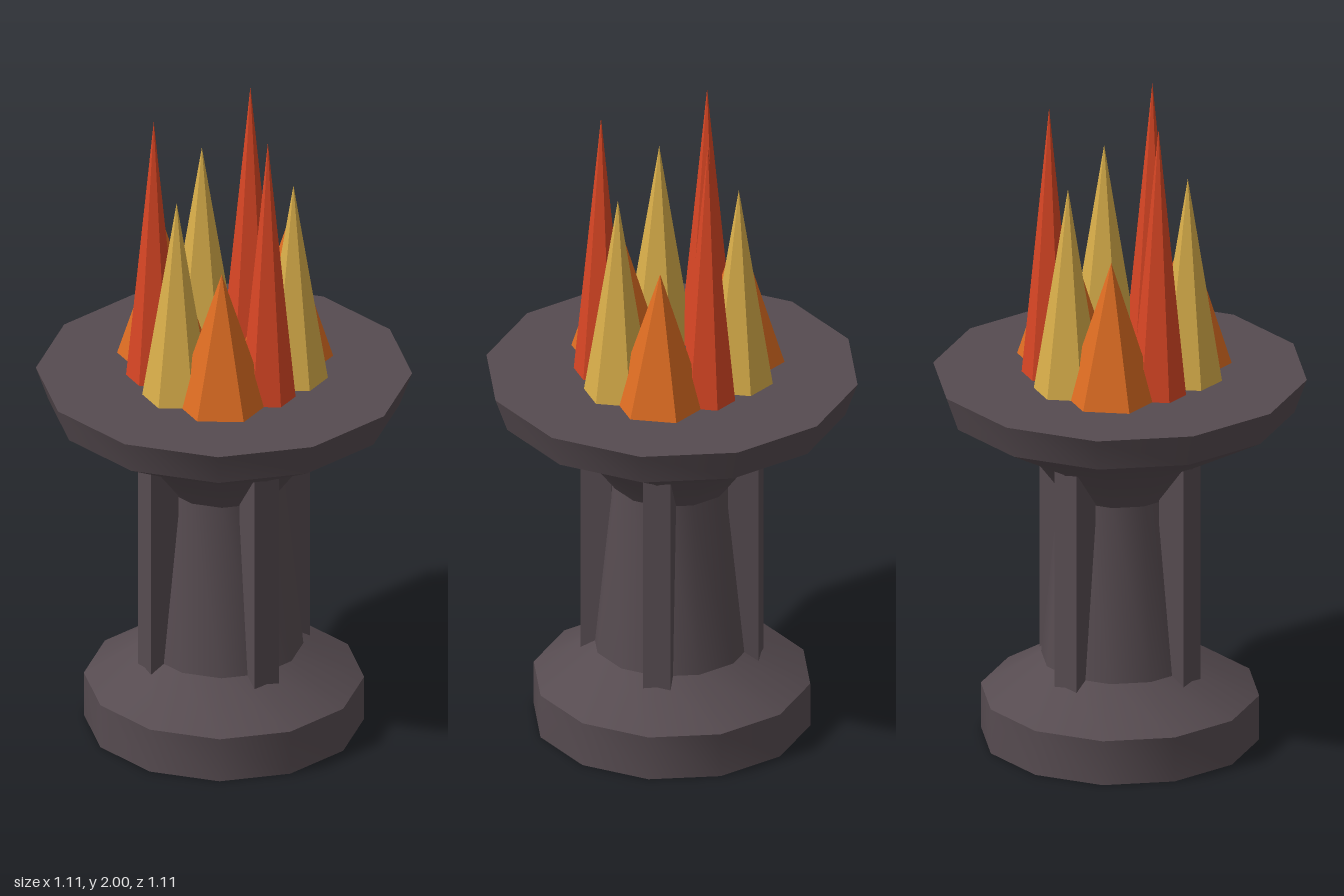
import * as THREE from 'three';
import { toCreasedNormals } from 'three/addons/utils/BufferGeometryUtils.js';

function material(name, color, options = {}) {
  const m = new THREE.MeshStandardMaterial({ color, ...options });
  m.name = name;
  return m;
}

export function createModel() {
  const model = new THREE.Group();
  model.name = 'brazier';

  const stone = material('dark stone', 0x564b50, { side: THREE.DoubleSide });
  const orange = material('orange flame', 0xdc6c22, { flatShading: true });
  const yellow = material('yellow flame', 0xd9ae4a, { flatShading: true });
  const red = material('red flame', 0xd84624, { flatShading: true });

  function add(name, geometry, mat, parent = model) {
    const mesh = new THREE.Mesh(geometry, mat);
    mesh.name = name;
    parent.add(mesh);
    return mesh;
  }

  // Hollow foot, tapering column and flared bowl, open underneath
  const profile = [
    [0.415, 0], [0.415, 0.14], [0.235, 0.25], [0.18, 0.79],
    [0.27, 0.91], [0.52, 1.05], [0.557, 1.155], [0, 1.155],
  ].map(([r, y]) => new THREE.Vector2(r, y));
  add('pedestalAndBowl', toCreasedNormals(new THREE.LatheGeometry(profile, 12), 0.6), stone);

  // Four upright ribs, sunk into the foot and the bowl
  const ribs = new THREE.Group();
  ribs.name = 'ribs';
  model.add(ribs);
  for (let i = 0; i < 4; i++) {
    const rib = new THREE.BoxGeometry(0.082, 0.82, 0.092);
    rib.translate(0, 0.55, 0.221);
    rib.rotateY(i * Math.PI / 2);
    add('rib', rib, stone, ribs);
  }

  // Three rings of six-sided flames standing on the bowl
  const flames = new THREE.Group();
  flames.name = 'flames';
  model.add(flames);
  const rings = [
    { name: 'orangeFlame', mat: orange, radius: 0.138, top: 1.585, start: 0 },
    { name: 'yellowFlame', mat: yellow, radius: 0.102, top: 1.795, start: 40 },
    { name: 'redFlame', mat: red, radius: 0.082, top: 2, start: 80 },
  ];
  for (const { name, mat, radius, top, start } of rings) {
    for (let i = 0; i < 3; i++) {
      const angle = THREE.MathUtils.degToRad(start + i * 120);
      const height = top - 1.155;
      const flame = add(name, new THREE.ConeGeometry(radius, height, 6), mat, flames);
      flame.position.set(0.21 * Math.cos(angle), 1.155 + height / 2, 0.21 * Math.sin(angle));
    }
  }

  return model;
}
